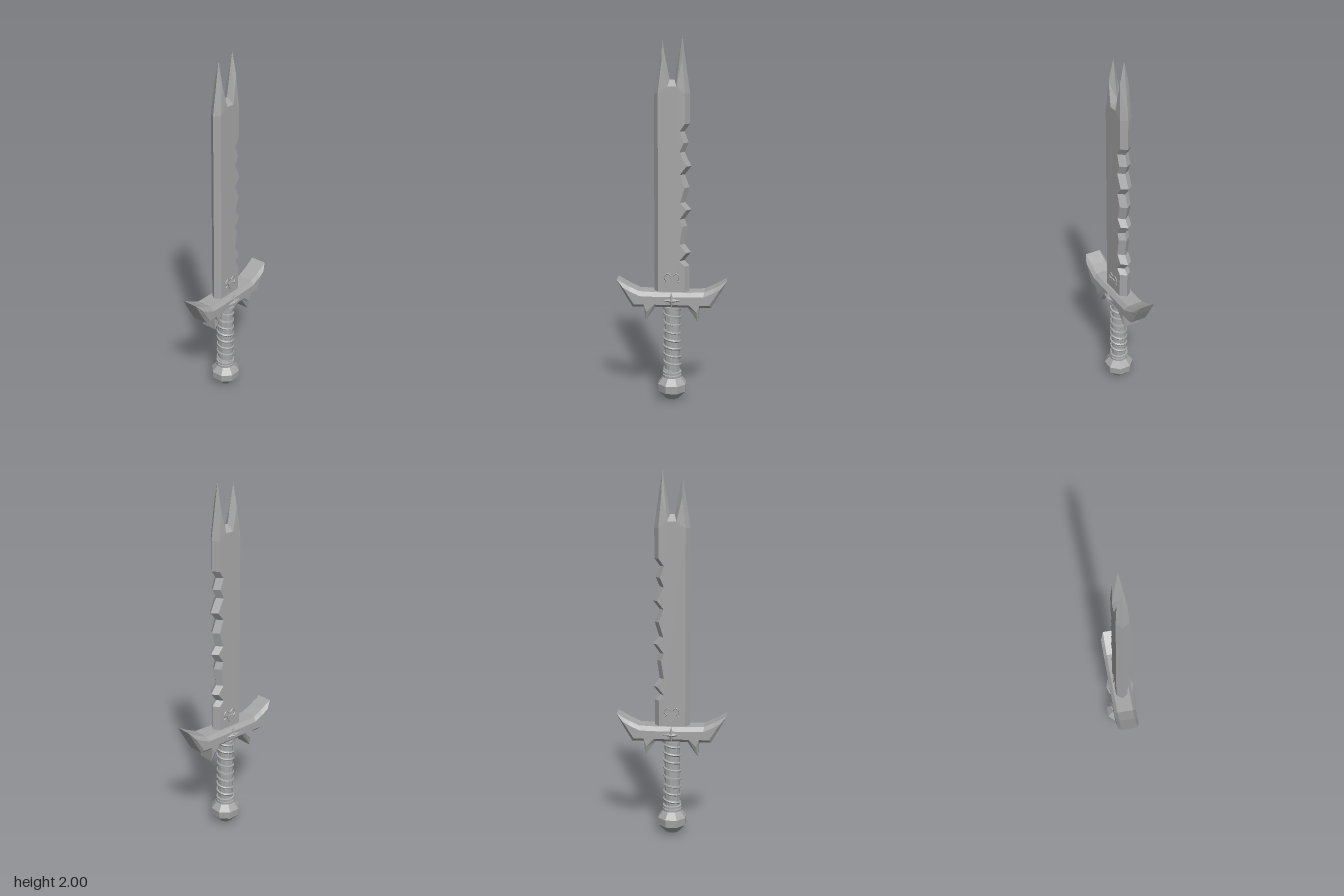
import * as THREE from 'three';

const steel = new THREE.MeshStandardMaterial({ color: 0xa6a6a6 });
steel.name = 'steel grey';

// flat-shaded mesh
function part(name, geometry) {
  const g = geometry.index ? geometry.toNonIndexed() : geometry;
  g.computeVertexNormals();
  const mesh = new THREE.Mesh(g, steel);
  mesh.name = name;
  return mesh;
}

// Two-sided bevelled plate. Each point is [outerX, outerY, innerX, innerY, innerZ?], counter-clockwise.
function bevelPlate(points, zOuter, zInner) {
  const pos = [];
  const inner = points.map(p => new THREE.Vector2(p[2], p[3]));
  const out = (p, s) => [p[0], p[1], s * zOuter];
  const inn = (p, s) => [p[2], p[3], s * (p[4] ?? zInner)];
  const tri = (a, b, c, s) => (s > 0 ? pos.push(...a, ...b, ...c) : pos.push(...a, ...c, ...b));
  const faces = THREE.ShapeUtils.triangulateShape(inner, []);
  for (const s of [1, -1]) {
    for (const [a, b, c] of faces) tri(inn(points[a], s), inn(points[b], s), inn(points[c], s), s);
    points.forEach((p, i) => {
      const q = points[(i + 1) % points.length];
      tri(out(p, s), out(q, s), inn(q, s), s);
      tri(out(p, s), inn(q, s), inn(p, s), s);
    });
  }
  if (zOuter > 0) points.forEach((p, i) => {
    const q = points[(i + 1) % points.length];
    tri(out(p, -1), out(q, -1), out(q, 1), 1);
    tri(out(p, -1), out(q, 1), out(p, 1), 1);
  });
  const g = new THREE.BufferGeometry();
  g.setAttribute('position', new THREE.Float32BufferAttribute(pos, 3));
  return g;
}

// Blade: straight back edge, notched cutting edge, forked tip
function blade() {
  const wave = [
    [0.094, 0.61], [0.094, 0.77], [0.066, 0.80], [0.103, 0.845], [0.068, 0.89], [0.082, 0.99],
    [0.068, 1.03], [0.103, 1.08], [0.070, 1.12], [0.094, 1.20], [0.068, 1.27], [0.103, 1.315],
    [0.066, 1.39], [0.088, 1.44], [0.066, 1.50], [0.094, 1.54],
  ].map(([x, y]) => [x, y, x - 0.025, y]);
  return part('blade', bevelPlate([
    ...wave,
    [0.095, 1.70, 0.070, 1.70],
    [0.052, 2.00, 0.054, 1.88, 0.025],
    [0.012, 1.77, 0.024, 1.735],
    [-0.014, 1.77, -0.024, 1.735],
    [-0.053, 1.975, -0.055, 1.86, 0.025],
    [-0.097, 1.70, -0.074, 1.70],
    [-0.097, 0.61, -0.074, 0.61],
  ], 0, 0.033));
}

// Guard: upswept arms with a downward spike on each side
function guard() {
  const half = [
    [0.088, 0.545, 0.095, 0.562],
    [0.143, 0.465, 0.136, 0.520],
    [0.150, 0.545, 0.152, 0.562],
    [0.215, 0.545, 0.206, 0.562],
    [0.268, 0.635, 0.252, 0.635],
    [0.300, 0.695, 0.268, 0.657],
    [0.235, 0.658, 0.226, 0.632],
    [0.178, 0.632, 0.172, 0.608],
    [0.080, 0.628, 0.080, 0.606],
  ];
  const mirrored = half.map(([a, b, c, d]) => [-a, b, -c, d]).reverse();
  return part('guard', bevelPlate([...half, ...mirrored], 0.045, 0.062));
}

// Four-pointed star from two crossed slivers
function star(side) {
  const g = new THREE.Group();
  g.name = 'guardStar';
  for (const [sx, sy, sz] of [[0.05, 0.012, 0.014], [0.012, 0.048, 0.014]]) {
    const arm = new THREE.OctahedronGeometry(1).scale(sx, sy, sz);
    arm.translate(0, 0.587, side * 0.065);
    g.add(part('starArm', arm));
  }
  return g;
}

// Low-relief ornament: pointed centre with curled horns
function ornament(side) {
  const g = new THREE.Group();
  g.name = 'bladeOrnament';
  const extrude = pts => new THREE.ExtrudeGeometry(
    new THREE.Shape(pts.map(([x, y]) => new THREE.Vector2(x, y))), { depth: 0.006, bevelEnabled: false });
  g.add(part('ornamentCentre', extrude([
    [0, 0.655], [0.014, 0.680], [0.022, 0.702], [0.008, 0.697],
    [0, 0.705], [-0.008, 0.697], [-0.022, 0.702], [-0.014, 0.680],
  ])));
  for (const s of [1, -1]) {
    const path = new THREE.CatmullRomCurve3([
      [0.006, 0.718], [0.022, 0.730], [0.036, 0.720], [0.040, 0.704], [0.028, 0.690], [0.040, 0.684],
    ].map(([x, y]) => new THREE.Vector3(s * x, y, 0.003)));
    g.add(part('ornamentHorn', new THREE.TubeGeometry(path, 12, 0.0035, 4)));
  }
  g.position.z = 0.032;
  const pivot = new THREE.Group();
  pivot.name = 'ornamentSide';
  pivot.rotation.y = side > 0 ? 0 : Math.PI;
  pivot.add(g);
  return pivot;
}

// Turned part from a profile of [radius, y], bottom to top
function turned(name, profile, sides) {
  return part(name, new THREE.LatheGeometry(
    profile.map(([r, y]) => new THREE.Vector2(r, y)), sides, Math.PI / sides));
}

// Grip core, spiral wrap and collars
function grip() {
  const g = new THREE.Group();
  g.name = 'grip';
  g.add(turned('gripCore', [[0.042, 0.13], [0.045, 0.34], [0.042, 0.56]], 12));
  const turns = 8, steps = turns * 10, pts = [];
  for (let i = 0; i <= steps; i++) {
    const a = (i / steps) * turns * Math.PI * 2;
    pts.push(new THREE.Vector3(0.044 * Math.sin(a), 0.535 - 0.365 * i / steps, 0.044 * Math.cos(a)));
  }
  g.add(part('gripWrap', new THREE.TubeGeometry(new THREE.CatmullRomCurve3(pts), steps * 2, 0.0075, 5)));
  for (const y of [0.142, 0.160, 0.535])
    g.add(turned('gripCollar', [[0.04, y - 0.009], [0.053, y - 0.006], [0.053, y + 0.006], [0.04, y + 0.009]], 12));
  return g;
}

export function createModel() {
  const model = new THREE.Group();
  model.name = 'sword';
  model.add(blade(), guard(), grip());
  model.add(turned('pommel', [
    [0, 0], [0.036, 0.010], [0.080, 0.055], [0.083, 0.098], [0.052, 0.135], [0, 0.140],
  ], 8));
  for (const side of [1, -1]) model.add(star(side), ornament(side));
  return model;
}
